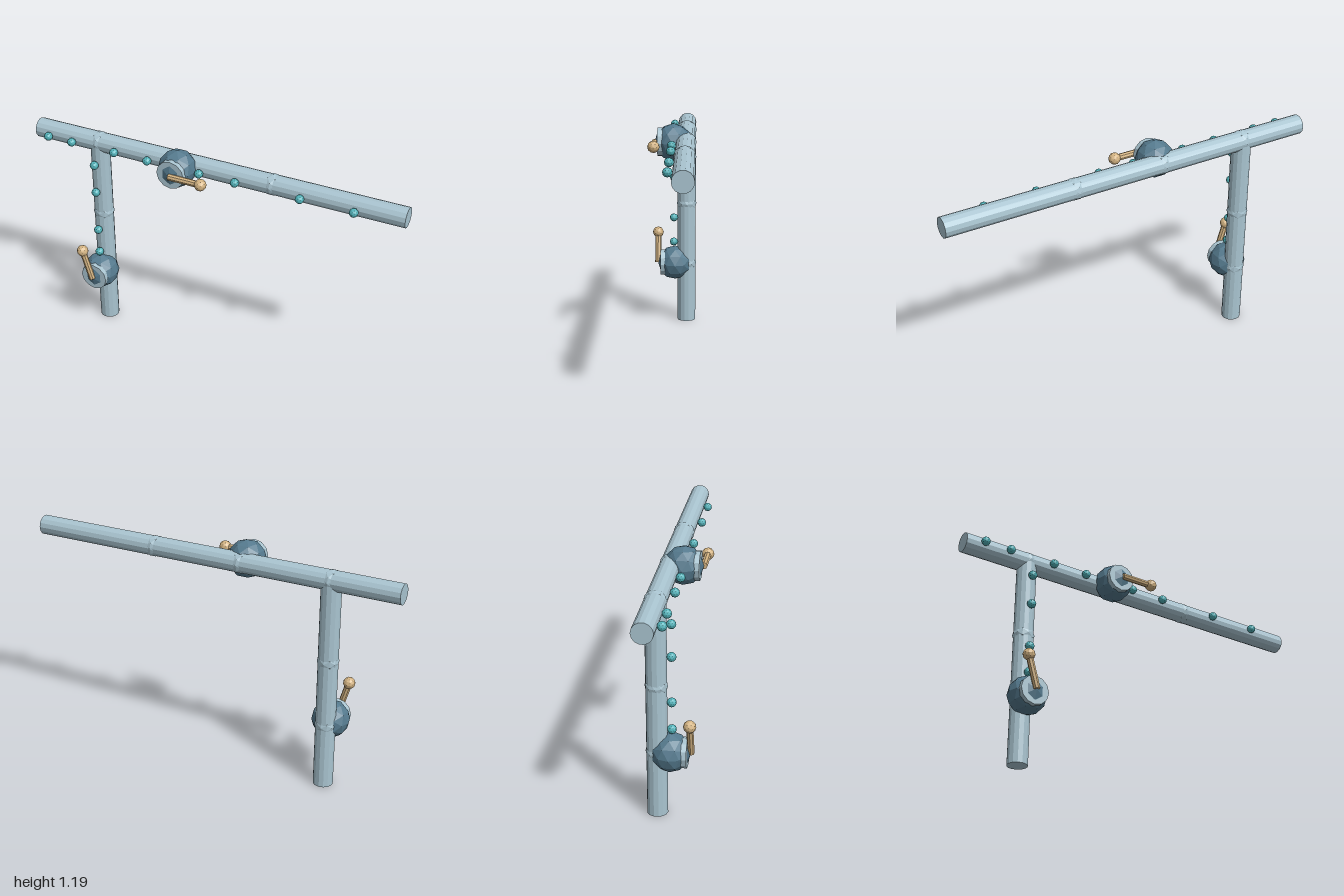
import * as THREE from 'three';

const mat = (name, color) => {
  const m = new THREE.MeshStandardMaterial({ color, flatShading: true });
  m.name = name;
  return m;
};

export function createModel() {
  const model = new THREE.Group();
  const pipeBlue = mat('pale pipe blue', 0xa9c4d0);
  const valveBlue = mat('dark valve blue', 0x557a8e);
  const beadTeal = mat('bead teal', 0x52b3ba);
  const handleTan = mat('handle tan', 0xd4b483);

  const PIPE_Z = -0.067, PIPE_R = 0.051, TOP_Y = 1.095, POST_X = -0.643;

  const add = (parent, name, geometry, material, x, y, z) => {
    const mesh = new THREE.Mesh(geometry, material);
    mesh.name = name;
    mesh.position.set(x, y, z);
    parent.add(mesh);
    return mesh;
  };
  const ball = (r) => new THREE.IcosahedronGeometry(r, 1);

  // Crossing pipes
  add(model, 'horizontalPipe', new THREE.CylinderGeometry(PIPE_R, PIPE_R, 2, 14).rotateZ(Math.PI / 2),
    pipeBlue, 0, TOP_Y, PIPE_Z);
  add(model, 'verticalPipe', new THREE.CylinderGeometry(PIPE_R, PIPE_R, TOP_Y, 14),
    pipeBlue, POST_X, TOP_Y / 2, PIPE_Z);

  // Round joints swelling slightly out of the pipes
  for (const [x, y] of [[POST_X, TOP_Y], [-0.165, TOP_Y], [0.32, TOP_Y], [POST_X, 0.68], [POST_X, 0.335]])
    add(model, 'pipeJoint', ball(0.055), pipeBlue, x, y, PIPE_Z);

  // Beads in a row along the front of each pipe
  for (const x of [-0.91, -0.77, -0.523, -0.333, -0.045, 0.148, 0.487, 0.758])
    add(model, 'bead', ball(0.023), beadTeal, x, TOP_Y, 0.005);
  for (const y of [0.99, 0.828, 0.596, 0.456])
    add(model, 'bead', ball(0.023), beadTeal, POST_X, y, 0.005);

  // Valve: faceted body, front flange and a lever with a knob
  const addValve = (x, y, angle, length) => {
    const valve = new THREE.Group();
    valve.name = 'valve';
    valve.position.set(x, y, 0);
    add(valve, 'valveBody', ball(0.097), valveBlue, 0, 0, -0.002);
    add(valve, 'valveFlange', new THREE.CylinderGeometry(0.074, 0.074, 0.034, 12).rotateX(Math.PI / 2),
      pipeBlue, 0, 0, 0.063);
    const lever = new THREE.Group();
    lever.name = 'lever';
    lever.position.z = 0.095;
    lever.rotation.z = angle;
    add(lever, 'leverArm', new THREE.CylinderGeometry(0.017, 0.017, length, 8).rotateZ(Math.PI / 2),
      handleTan, length / 2, 0, 0);
    add(lever, 'leverKnob', ball(0.031), handleTan, length, 0, 0);
    valve.add(lever);
    model.add(valve);
  };
  addValve(-0.165, TOP_Y, 0, 0.173);
  addValve(POST_X, 0.335, Math.atan2(0.166, -0.05), 0.173);

  return model;
}
